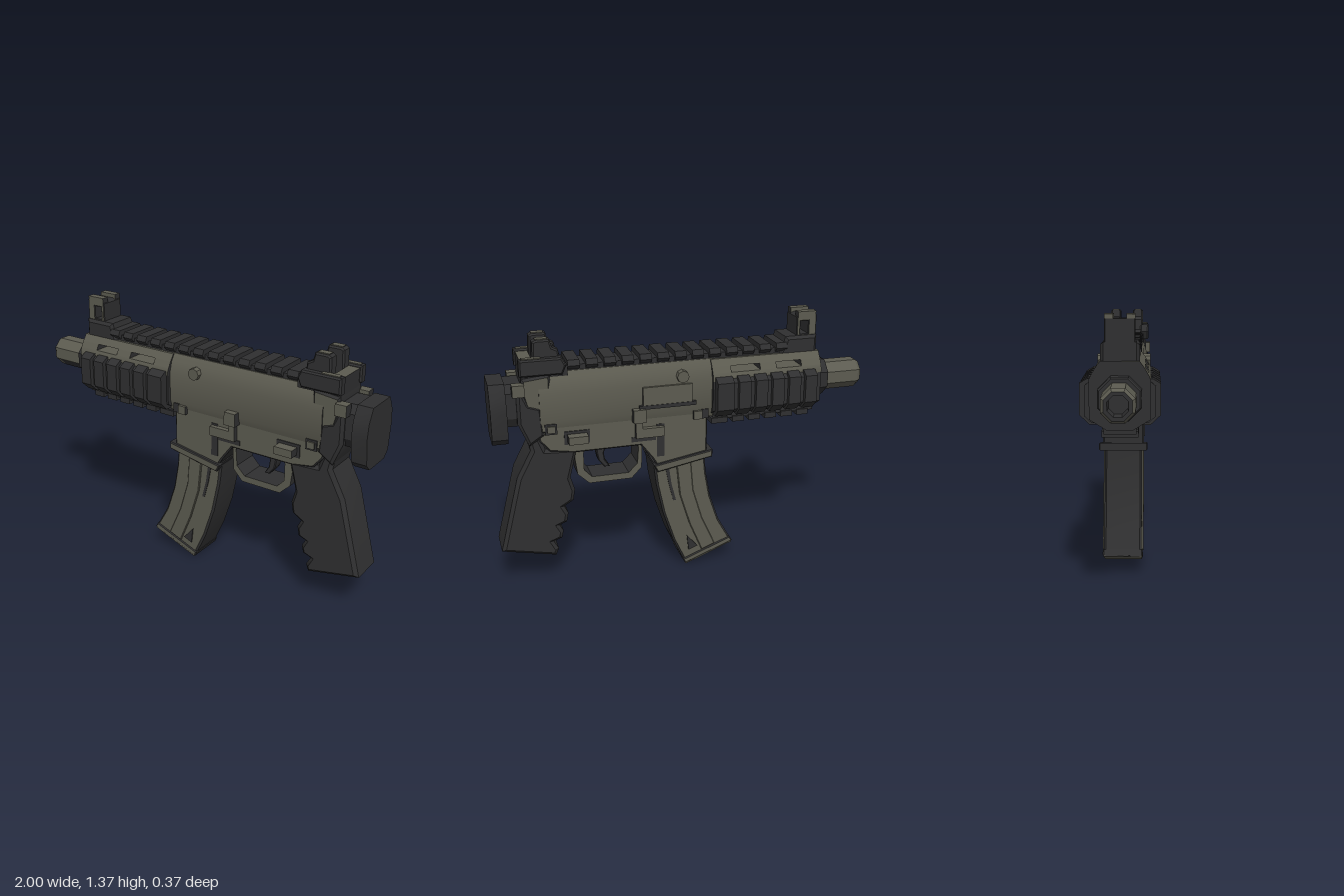
import * as THREE from 'three';
import { toCreasedNormals } from 'three/addons/utils/BufferGeometryUtils.js';

const mat = (name, color) => {
  const m = new THREE.MeshStandardMaterial({ color });
  m.name = name;
  return m;
};

export function createModel() {
  const root = new THREE.Group();
  const olive = mat('olive', 0x5c5b50);
  const dark = mat('charcoal', 0x2f2f30);
  const darkRim = [olive, dark]; // olive cheeks, charcoal edges
  const darkEnds = [dark, olive]; // charcoal ends, olive flanks
  const darkBack = [dark, olive, olive, olive, olive, olive]; // box with a charcoal rear face

  const add = (name, geo, material) => {
    const m = new THREE.Mesh(geo, material);
    m.name = name;
    root.add(m);
    return m;
  };
  const toVectors = (pts) => pts.map(([x, y]) => new THREE.Vector2(x, y));
  const toShape = (pts) => new THREE.Shape(toVectors(pts));

  // Side outline extruded across z, with softened edges
  const slab = (name, pts, half, material, bevel = 0.015, holes = [], z = 0) => {
    const s = toShape(pts);
    holes.forEach((h) => s.holes.push(toShape(h)));
    const g = new THREE.ExtrudeGeometry(s, {
      depth: 2 * (half - bevel), bevelEnabled: bevel > 0, bevelThickness: bevel,
      bevelSize: bevel, bevelOffset: -bevel, bevelSegments: 1,
    });
    g.translate(0, 0, z - half + bevel);
    return add(name, toCreasedNormals(g, 0.6), material);
  };
  // Symmetric cross-section, listed as [half width, y] upwards, extruded along x
  const bar = (name, half, x0, x1, material) => {
    const pts = [...half, ...half.map(([z, y]) => [-z, y]).reverse()];
    const g = new THREE.ExtrudeGeometry(toShape(pts), { depth: x1 - x0, bevelEnabled: false });
    g.rotateY(Math.PI / 2).translate(x0, 0, 0);
    return add(name, toCreasedNormals(g, 0.45), material);
  };
  const box = (name, x0, x1, y0, y1, z0, z1, material) => {
    const g = new THREE.BoxGeometry(x1 - x0, y1 - y0, z1 - z0);
    g.translate((x0 + x1) / 2, (y0 + y1) / 2, (z0 + z1) / 2);
    return add(name, g, material);
  };
  const pair = (name, x0, x1, y0, y1, z0, z1, material) => {
    box(name, x0, x1, y0, y1, z0, z1, material);
    box(name, x0, x1, y0, y1, -z1, -z0, material);
  };
  // Eight-sided turning about the barrel axis, listed as [radius, distance from the muzzle]
  const turned = (name, profile, material, facets = 8) => {
    const g = new THREE.LatheGeometry(toVectors(profile), facets, Math.PI / 8, facets * Math.PI / 4);
    g.rotateZ(-Math.PI / 2).translate(-1, 1, 0);
    return add(name, toCreasedNormals(g, 0.5), material);
  };

  // Muzzle with a bore and a charcoal lower facet, and its collar
  turned('muzzle', [[0.068, 0], [0.082, 0.02], [0.082, 0.24]], olive);
  turned('muzzleBore', [[0, 0.06], [0.045, 0.06], [0.05, 0], [0.068, 0]], dark);
  turned('muzzleUnderside', [[0.084, 0.05], [0.084, 0.24]], dark, 1);
  turned('barrelCollar', [[0, 0.205], [0.1, 0.205], [0.108, 0.22], [0.108, 0.29]], dark);

  // Handguard: dark lower shell, olive roof standing on posts that leave vent slots
  bar('handguardShell', [[0.06, 0.85], [0.14, 0.9], [0.14, 1.07]], -0.73, -0.13, dark);
  bar('handguardShoulder', [[0.141, 1.06], [0.141, 1.08], [0.132, 1.1]], -0.73, -0.13, darkEnds);
  [[-0.73, -0.62], [-0.48, -0.39], [-0.23, -0.13]].forEach(([a, b]) =>
    bar('handguardPost', [[0.132, 1.1], [0.115, 1.13]], a, b, darkEnds));
  bar('handguardRoof', [[0.115, 1.13], [0.09, 1.165]], -0.73, -0.13, darkEnds);

  // Side and bottom rails of the handguard
  bar('sideRails', [[0.13, 0.88], [0.163, 0.91], [0.163, 1.05], [0.14, 1.07]], -0.7, -0.15, dark);
  box('bottomRail', -0.72, -0.15, 0.83, 0.87, -0.075, 0.075, dark);
  for (let i = 0; i < 6; i++) {
    const x = -0.69 + i * 0.092;
    const w = i === 5 ? 0.09 : 0.065;
    bar('sideRailTeeth', [[0.14, 0.87], [0.187, 0.915], [0.187, 1.06], [0.15, 1.082]], x, x + w, dark);
    box('bottomRailTooth', x, x + w, 0.81, 0.84, -0.085, 0.085, dark);
  }

  // Top rail
  box('topRail', -0.58, 0.63, 1.15, 1.195, -0.075, 0.075, dark);
  for (let i = 0; i < 13; i++) {
    const x = -0.55 + i * 0.0915;
    bar('topRailTooth', [[0.08, 1.175], [0.098, 1.195], [0.085, 1.222]], x, x + 0.06, dark);
  }

  // Upper receiver
  bar('upperReceiver', [[0.1, 0.86], [0.12, 0.92], [0.122, 1.07], [0.105, 1.13], [0.08, 1.168]],
    -0.14, 0.76, darkEnds);
  slab('receiverRear', [[0.7, 0.86], [0.79, 0.86], [0.82, 0.98], [0.845, 1.08], [0.84, 1.15], [0.7, 1.165]],
    0.115, darkRim, 0.012);
  slab('rearBracket', [[0.74, 0.85], [0.82, 0.8], [0.87, 0.92], [0.87, 1.09], [0.84, 1.09], [0.81, 1.02], [0.75, 1.0]],
    0.12, dark);

  // Lower receiver with magazine well
  slab('lowerReceiver', [[-0.11, 0.94], [-0.11, 0.65], [0.16, 0.61], [0.19, 0.66], [0.25, 0.74],
    [0.6, 0.74], [0.72, 0.76], [0.77, 0.82], [0.79, 0.94]], 0.108, darkRim, 0.008);
  slab('wellFlange', [[-0.135, 0.68], [-0.135, 0.64], [0.165, 0.585], [0.185, 0.625]], 0.127, darkRim, 0.006);
  pair('wellRecess', 0.125, 0.165, 0.67, 0.85, 0.105, 0.112, dark);

  // Trigger guard and trigger
  slab('triggerGuard',
    [[0.235, 0.77], [0.24, 0.605], [0.295, 0.548], [0.52, 0.548], [0.58, 0.605], [0.6, 0.77]],
    0.075, darkRim, 0,
    [[[0.27, 0.742], [0.53, 0.742], [0.545, 0.72], [0.545, 0.625], [0.505, 0.582], [0.31, 0.582], [0.262, 0.63], [0.255, 0.72]]]);
  slab('trigger', [[0.4, 0.77], [0.43, 0.69], [0.425, 0.65], [0.4, 0.61], [0.43, 0.61], [0.46, 0.65], [0.47, 0.7], [0.46, 0.77]],
    0.03, dark, 0.005);

  // Pistol grip with finger notches
  slab('grip', [[0.58, 0.76], [0.62, 0.6], [0.6, 0.53], [0.61, 0.47], [0.66, 0.44], [0.64, 0.4], [0.65, 0.35],
    [0.69, 0.335], [0.67, 0.3], [0.68, 0.26], [0.725, 0.245], [0.7, 0.2], [0.715, 0.163], [0.995, 0.225],
    [0.89, 0.63], [0.815, 0.77], [0.83, 0.84], [0.77, 0.85], [0.74, 0.77]], 0.105, dark, 0.018);

  // Curved magazine: olive cheeks, dark front and back edges
  slab('magazine', [[-0.1, 0.66], [-0.11, 0.54], [-0.135, 0.4], [-0.185, 0.25], [-0.265, 0.105], [0.005, 0.005],
    [0.075, 0.16], [0.13, 0.33], [0.165, 0.5], [0.18, 0.63]], 0.098, darkRim, 0.01);
  slab('magazineFloor', [[-0.265, 0.108], [0.008, 0.006], [0.022, 0.035], [-0.248, 0.136]], 0.104, darkRim, 0.006);
  slab('floorPlate', [[-0.26, 0.101], [0.003, 0.002], [0.006, 0.008], [-0.258, 0.107]], 0.1, olive, 0);
  for (const s of [1, -1]) {
    slab('magazineRib', [[-0.02, 0.64], [-0.035, 0.45], [-0.085, 0.28], [-0.16, 0.11], [-0.085, 0.08],
      [-0.015, 0.25], [0.04, 0.43], [0.06, 0.63]], 0.008, olive, 0.004, [], s * 0.1);
    slab('magazineSeam', [[0.1, 0.61], [0.085, 0.5], [0.06, 0.4], [0.075, 0.4], [0.1, 0.5], [0.12, 0.61]],
      0.003, dark, 0, [], s * 0.099);
    slab('magazineNotch', [[-0.06, 0.11], [-0.01, 0.09], [0.0, 0.18]], 0.003, dark, 0, [], s * 0.105);
  }

  // Controls on both sides
  pair('boltCatch', 0.23, 0.295, 0.88, 0.95, 0.1, 0.155, darkBack);
  pair('catchStem', 0.245, 0.28, 0.82, 0.88, 0.1, 0.135, darkBack);
  pair('magazineRelease', 0.13, 0.28, 0.79, 0.84, 0.1, 0.135, darkBack);
  pair('releaseShadowGap', 0.17, 0.3, 0.765, 0.79, 0.1, 0.113, dark);
  pair('selector', 0.53, 0.63, 0.805, 0.845, 0.1, 0.165, darkBack);
  pair('selectorPlate', 0.515, 0.645, 0.79, 0.86, 0.1, 0.113, dark);
  pair('selectorStop', 0.69, 0.73, 0.865, 0.9, 0.1, 0.13, darkBack);
  pair('selectorStopPlate', 0.68, 0.74, 0.855, 0.91, 0.1, 0.122, dark);
  pair('frontPin', -0.075, -0.03, 0.86, 0.905, 0.1, 0.13, darkBack);
  pair('frontPinPlate', -0.11, -0.075, 0.86, 0.91, 0.1, 0.122, dark);
  for (const s of [1, -1]) {
    const g = new THREE.CylinderGeometry(0.032, 0.032, 0.05, 8);
    g.rotateX(Math.PI / 2).translate(0.03, 1.1, s * 0.115);
    add('sideButton', toCreasedNormals(g, 0.5), olive);
  }
  // Ejection port cover on the far side
  box('portCover', -0.02, 0.24, 0.96, 1.06, -0.135, -0.11, darkBack);
  box('portHinge', -0.04, 0.26, 0.945, 0.965, -0.138, -0.11, dark);

  // Front sight: base, windowed post and two ears
  slab('frontSightBase', [[-0.72, 1.14], [-0.5, 1.14], [-0.535, 1.21], [-0.545, 1.25], [-0.72, 1.25]], 0.09, dark);
  slab('frontSightPost', [[-0.72, 1.24], [-0.61, 1.24], [-0.61, 1.345], [-0.63, 1.355], [-0.72, 1.355]], 0.07, darkRim, 0.004,
    [[[-0.675, 1.255], [-0.63, 1.255], [-0.63, 1.325], [-0.675, 1.325]]]);
  pair('frontSightEar', -0.715, -0.615, 1.345, 1.375, 0.03, 0.07, darkBack);

  // Rear sight: wide base with side bars and a notched block
  box('rearSightBase', 0.61, 0.84, 1.15, 1.2, -0.1, 0.1, dark);
  box('rearSightBridge', 0.78, 0.84, 1.17, 1.24, -0.11, 0.11, darkBack);
  for (const s of [1, -1]) {
    slab('rearSightBar', [[0.64, 1.165], [0.85, 1.165], [0.85, 1.25], [0.64, 1.25], [0.62, 1.21]],
      0.025, dark, 0.008, [], s * 0.105);
    box('rearSightBarCap', 0.74, 0.835, 1.248, 1.254, s * 0.105 - 0.014, s * 0.105 + 0.014, darkBack);
    slab('rearSightBlock', [[0.64, 1.19], [0.78, 1.19], [0.775, 1.325], [0.76, 1.335], [0.69, 1.335], [0.68, 1.295], [0.65, 1.28]],
      0.03, dark, 0.008, [], s * 0.065);
    box('rearSightCap', 0.7, 0.76, 1.333, 1.339, s * 0.065 - 0.018, s * 0.065 + 0.018, darkBack);
  }

  // Rear cap
  bar('rearNeck', [[0.07, 0.9], [0.1, 0.95], [0.1, 1.08], [0.07, 1.12]], 0.83, 0.93, dark);
  pair('rearNeckLug', 0.83, 0.89, 1.07, 1.13, 0.09, 0.14, darkBack);
  bar('rearCap', [[0.08, 0.815], [0.115, 0.85], [0.133, 0.99], [0.125, 1.06], [0.09, 1.13]], 0.92, 1, dark);

  return root;
}
